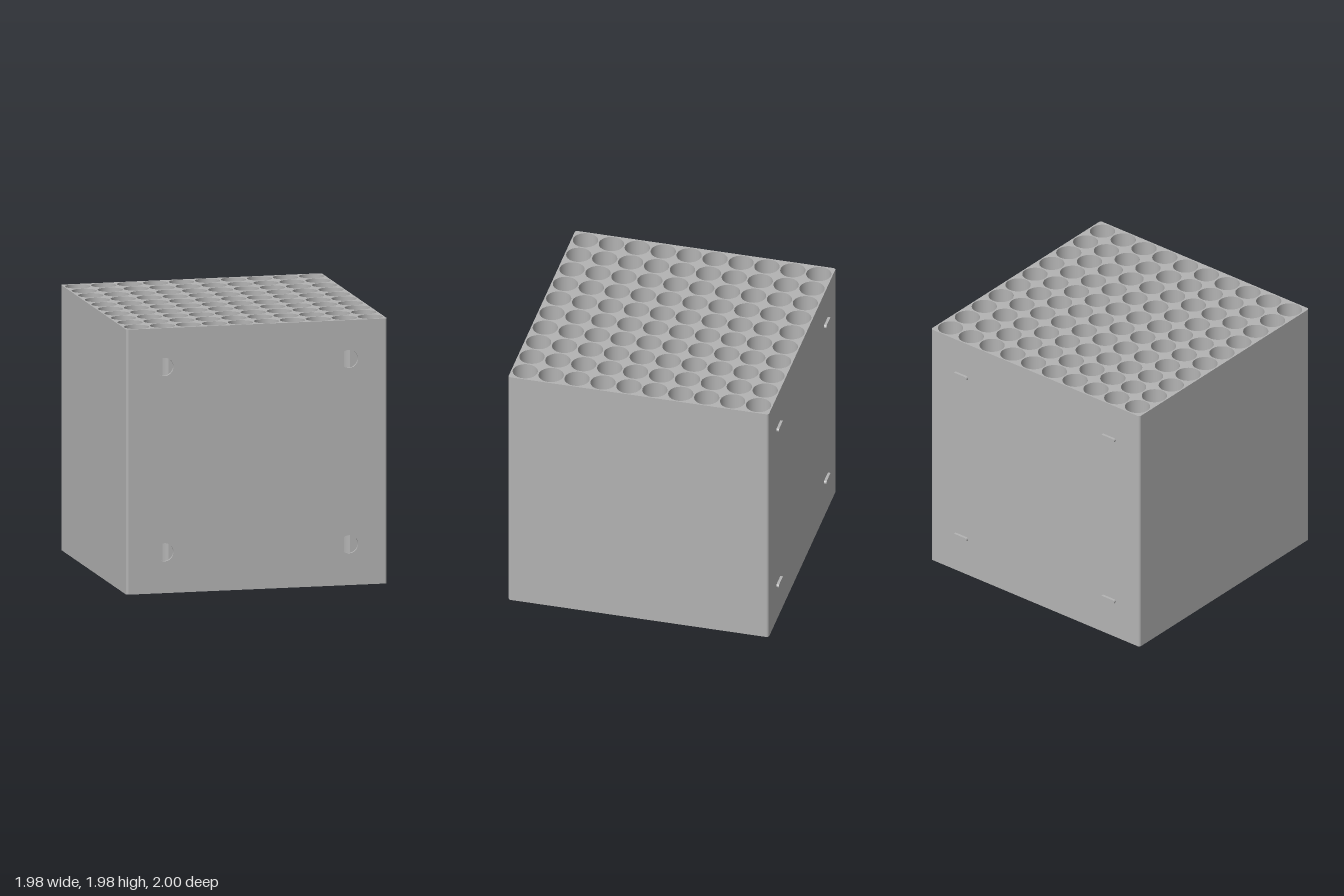
import * as THREE from 'three';
import { mergeGeometries } from 'three/addons/utils/BufferGeometryUtils.js';

const HALF = 0.99, HEIGHT = 1.98, CORNER = 0.02;   // block
const PITCH = 0.197, HOLE_R = 0.093, FLOOR = 0.02; // storage holes
const SOCKET_R = 0.068, SOCKET_DEPTH = 0.018;      // front sockets
const COLS = [-0.7, 0.7], ROWS = [0.305, 1.69];

function roundedSquare() {
  const s = new THREE.Shape(), c = HALF - CORNER;
  s.absarc(c, c, CORNER, 0, Math.PI / 2);
  s.absarc(-c, c, CORNER, Math.PI / 2, Math.PI);
  s.absarc(-c, -c, CORNER, Math.PI, Math.PI * 1.5);
  s.absarc(c, -c, CORNER, Math.PI * 1.5, Math.PI * 2);
  s.closePath();
  return s;
}

function circlePath(x, y, r) {
  return new THREE.Path().absarc(x, y, r, 0, Math.PI * 2, true);
}

// Cylinder wall that faces inwards, running from y = top down to y = bottom
function innerWall(r, top, bottom) {
  return new THREE.LatheGeometry([new THREE.Vector2(r, top), new THREE.Vector2(r, bottom)], 40);
}

export function createModel() {
  const grey = new THREE.MeshStandardMaterial({ color: 0xb3b3b3 });
  grey.name = 'grey';
  const model = new THREE.Group();
  model.name = 'storageBlock';
  const block = new THREE.Group();
  block.name = 'block';
  block.position.z = 0.01;
  model.add(block);
  const add = (name, geometry) => {
    const mesh = new THREE.Mesh(geometry, grey);
    mesh.name = name;
    block.add(mesh);
    return mesh;
  };

  // Hole centres on a ten by ten grid
  const centres = [];
  for (let i = 0; i < 10; i++)
    for (let j = 0; j < 10; j++) centres.push([(i - 4.5) * PITCH, (j - 4.5) * PITCH]);

  // Pierced top and plain bottom
  const top = roundedSquare();
  for (const [x, z] of centres) top.holes.push(circlePath(x, -z, HOLE_R));
  add('top', new THREE.ShapeGeometry(top, 20).rotateX(-Math.PI / 2).translate(0, HEIGHT, 0));
  add('bottom', new THREE.ShapeGeometry(roundedSquare(), 6).rotateX(Math.PI / 2));

  // Deep holes: inward wall and floor
  add('holes', mergeGeometries(centres.flatMap(([x, z]) => [
    innerWall(HOLE_R, HEIGHT, FLOOR).translate(x, 0, z),
    new THREE.CircleGeometry(HOLE_R, 40).rotateX(-Math.PI / 2).translate(x, FLOOR, z),
  ])));

  // Plain side and back walls, rounded upright corners
  const flat = HALF - CORNER;
  ['leftWall', 'backWall', 'rightWall'].forEach((name, i) => {
    add(name, new THREE.PlaneGeometry(flat * 2, HEIGHT)
      .translate(0, HEIGHT / 2, HALF).rotateY((i + 1) * Math.PI / 2));
  });
  for (let i = 0; i < 4; i++) {
    add('corner', new THREE.CylinderGeometry(CORNER, CORNER, HEIGHT, 6, 1, true, 0, Math.PI / 2)
      .translate(flat, HEIGHT / 2, flat).rotateY(i * Math.PI / 2));
  }

  // Front wall with four round openings
  const front = new THREE.Shape([
    new THREE.Vector2(-flat, 0), new THREE.Vector2(flat, 0),
    new THREE.Vector2(flat, HEIGHT), new THREE.Vector2(-flat, HEIGHT),
  ]);
  for (const x of COLS) for (const y of ROWS) front.holes.push(circlePath(x, y, SOCKET_R));
  add('frontWall', new THREE.ShapeGeometry(front, 20).translate(0, 0, HALF));

  // Sockets: shallow recesses whose floors are slit open by the hole behind
  const slitHalf = 0.023;
  for (const x of COLS) {
    const slitX = Math.sign(x) * 3.5 * PITCH - x;
    const a = Math.acos((slitX + slitHalf) / SOCKET_R);
    const b = Math.acos((slitX - slitHalf) / SOCKET_R);
    for (const y of ROWS) {
      add('socketWall', innerWall(SOCKET_R, 0, -SOCKET_DEPTH)
        .rotateX(Math.PI / 2).translate(x, y, HALF));
      for (const [from, to] of [[-a, a], [b, Math.PI * 2 - b]]) {
        const segment = new THREE.Shape().absarc(0, 0, SOCKET_R, from, to);
        add('socketFloor', new THREE.ShapeGeometry(segment, 16)
          .translate(x, y, HALF - SOCKET_DEPTH));
      }
    }
  }

  // Flat pegs with rounded ends on the back
  const r = 0.015, reach = 0.065 - r;
  const peg = new THREE.Shape();
  peg.absarc(reach, 0, r, -Math.PI / 2, Math.PI / 2);
  peg.absarc(-reach, 0, r, Math.PI / 2, Math.PI * 1.5);
  peg.closePath();
  const pegGeometry = new THREE.ExtrudeGeometry(peg, { depth: 0.02, bevelEnabled: false, curveSegments: 8 });
  for (const x of COLS)
    for (const y of ROWS) add('backPeg', pegGeometry).position.set(x, y, -HALF - 0.02);

  return model;
}
